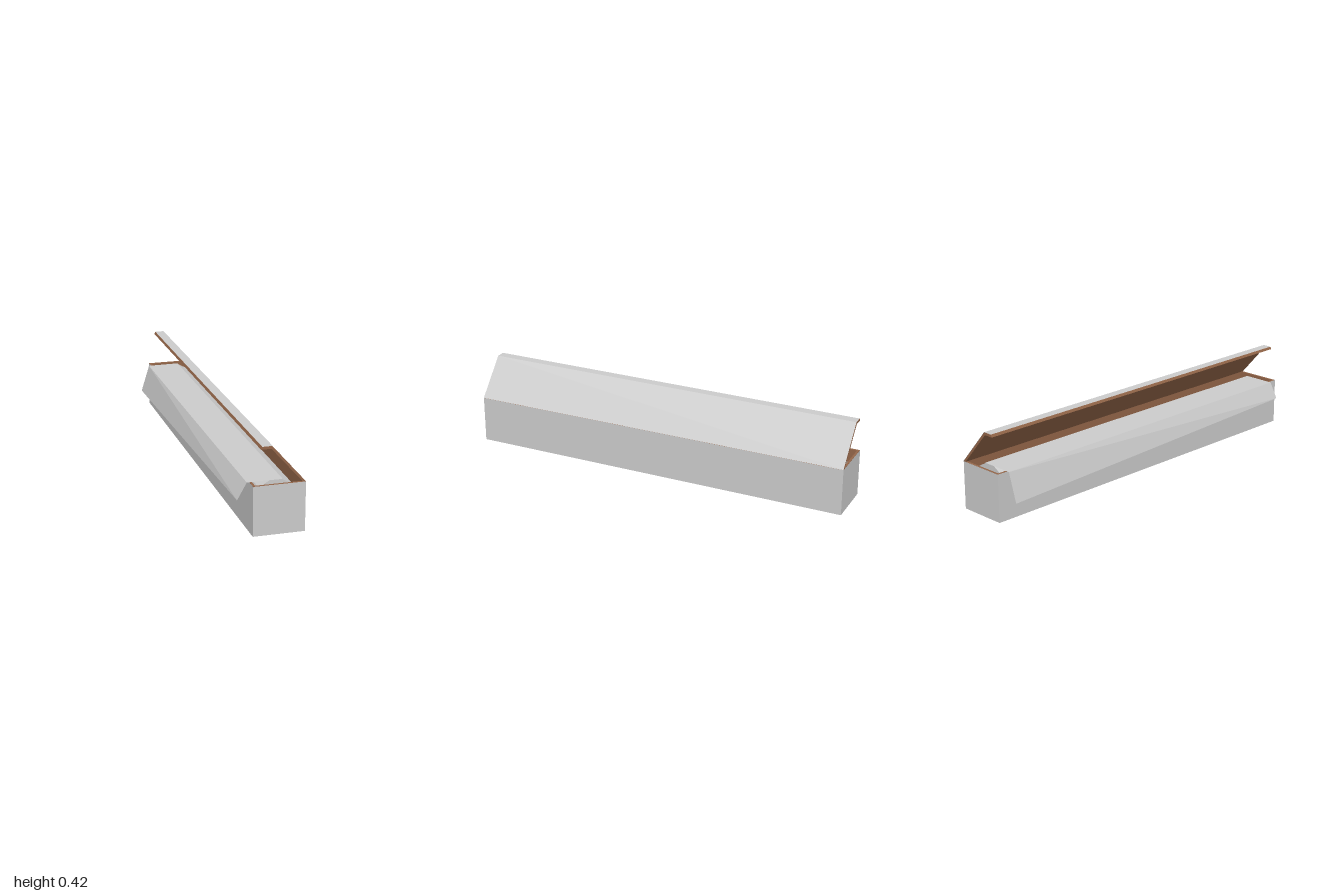
import * as THREE from 'three';

const cardboard = new THREE.MeshStandardMaterial({ color: 0x946649, flatShading: true });
const grey = new THREE.MeshStandardMaterial({ color: 0xcccccc, flatShading: true, side: THREE.DoubleSide });

const X0 = -0.095, X1 = 0.152, H = 0.24, T = 0.012, E = 0.001;

function add(group, name, geometry, material) {
  const mesh = new THREE.Mesh(geometry, material);
  mesh.name = name;
  group.add(mesh);
  return mesh;
}

// Thin surface spanning two matching polylines
function strip(a, b) {
  const pos = [];
  for (let i = 0; i < a.length - 1; i++) {
    pos.push(...a[i], ...b[i], ...b[i + 1], ...a[i], ...b[i + 1], ...a[i + 1]);
  }
  const g = new THREE.BufferGeometry();
  g.setAttribute('position', new THREE.Float32BufferAttribute(pos, 3));
  g.computeVertexNormals();
  return g;
}

// Outline in x-y extruded along z between -half and +half
function prism(points, half) {
  const shape = new THREE.Shape(points.map(([x, y]) => new THREE.Vector2(x, y)));
  return new THREE.ExtrudeGeometry(shape, { depth: 2 * half, bevelEnabled: false }).translate(0, 0, -half);
}

function box(x0, x1, y0, y1, z0, z1) {
  return new THREE.BoxGeometry(x1 - x0, y1 - y0, z1 - z0)
    .translate((x0 + x1) / 2, (y0 + y1) / 2, (z0 + z1) / 2);
}

export function createModel() {
  const model = new THREE.Group();
  model.name = 'wrapRollBox';

  // Open cardboard tray: brown inside, rim and underside
  const tray = new THREE.Group();
  tray.name = 'tray';
  model.add(tray);
  add(tray, 'floor', box(X0 + E, X1 - E, 0, T, -1 + E, 1 - E), cardboard);
  add(tray, 'openingWall', box(X0 + E, X0 + T, T, H, -1 + E, 1 - E), cardboard);
  add(tray, 'hingeWall', box(X1 - T, X1 - E, T, H, -1 + E, 1 - E), cardboard);
  for (const s of [-1, 1]) {
    const z = [s * (1 - E), s * (1 - T)].sort((a, b) => a - b);
    add(tray, 'endWall', box(X0 + T, X1 - T, T, H, z[0], z[1]), cardboard);
  }

  // Grey printed skin around the four outer walls
  const ring = [[X0, -1], [X0, 1], [X1, 1], [X1, -1], [X0, -1]];
  add(tray, 'outerSkin', strip(ring.map(([x, z]) => [x, 0, z]), ring.map(([x, z]) => [x, H, z])), grey);

  // Raised lid with a folded lip, grey on its outer side
  const lid = new THREE.Group();
  lid.name = 'lid';
  model.add(lid);
  const outer = [[X1, H], [-0.008, 0.423], [-0.055, 0.423]];
  const inner = [[-0.061, 0.411], [-0.013, 0.411], [0.138, H]];
  add(lid, 'lidBoard', prism([...outer, ...inner], 1), cardboard);
  const lift = 0.001;
  const skin = z => outer.map(([x, y], i) => [x + (i === 2 ? 0 : lift * 0.7), y + lift, z]);
  add(lid, 'lidSkin', strip(skin(-1), skin(1)), grey);

  // Twelve-sided roll with a flat on top and a hollow core
  const cx = (X0 + X1) / 2, cy = 0.13, r = 0.115, halfLength = 0.945;
  const circle = (radius, n) => Array.from({ length: n }, (_, i) => {
    const a = (i + 0.5) * 2 * Math.PI / n;
    return new THREE.Vector2(cx + radius * Math.cos(a), cy + radius * Math.sin(a));
  });
  const section = new THREE.Shape(circle(r, 12));
  section.holes.push(new THREE.Path(circle(0.04, 12)));
  add(model, 'roll', new THREE.ExtrudeGeometry(section, { depth: 2 * halfLength, bevelEnabled: false })
    .translate(0, 0, -halfLength), grey);

  // Loose sheet pulled over the edge and cut at a slant
  const sheet = (z, end) => [[0.06, 0.242, z], [0, 0.242, z], [-0.108, 0.241, z], [-0.153, end, z]];
  add(model, 'sheet', strip(sheet(-halfLength, 0.097), sheet(halfLength, 0.16)), grey);

  return model;
}
